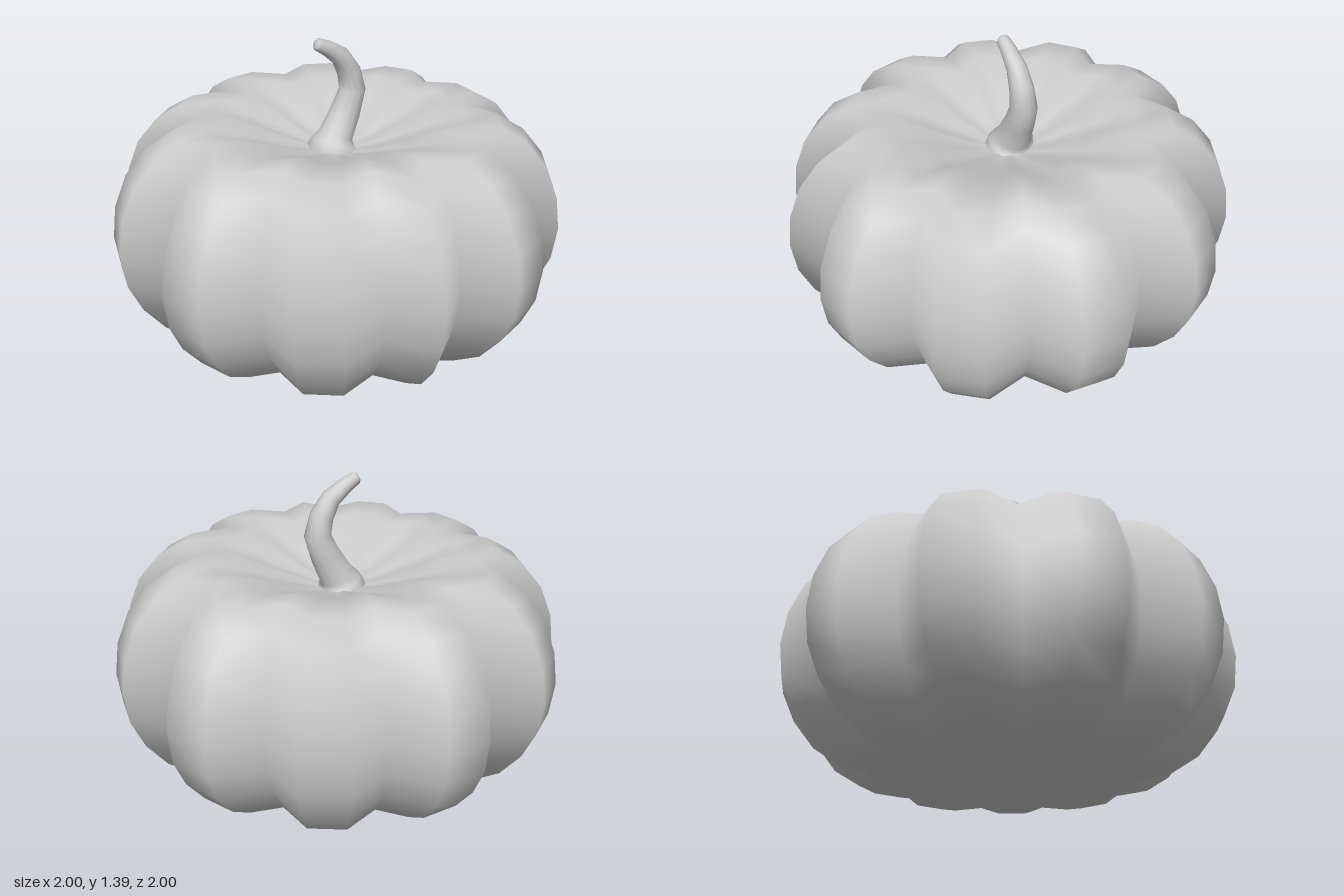
import * as THREE from 'three';
import { mergeVertices } from 'three/addons/utils/BufferGeometryUtils.js';

const material = new THREE.MeshStandardMaterial({ color: 0xcccccc });

// Skin a stack of closed rings, listed from bottom to top, with smooth normals
function loft(rings) {
  const sides = rings[0].length;
  const index = [];
  for (let r = 0; r < rings.length - 1; r++) {
    for (let i = 0; i < sides; i++) {
      const j = (i + 1) % sides;
      const a = r * sides + i, b = r * sides + j;
      index.push(a, b, a + sides, b, b + sides, a + sides);
    }
  }
  const geometry = new THREE.BufferGeometry().setFromPoints(rings.flat());
  geometry.setIndex(index);
  const merged = mergeVertices(geometry, 1e-4);
  merged.computeVertexNormals();
  return merged;
}

function addMesh(group, name, geometry) {
  const mesh = new THREE.Mesh(geometry, material);
  mesh.name = name;
  group.add(mesh);
}

// Ribbed body: every third of 32 spokes is pulled in to form a groove
function bodyGeometry() {
  const spokes = 32;
  // [radius, height] from the bottom pole over the rim into the top hollow
  const profile = [
    [0, 0], [0.195, 0.003], [0.383, 0.008], [0.556, 0.018], [0.707, 0.06], [0.831, 0.14],
    [0.924, 0.26], [0.981, 0.39], [1, 0.54], [0.981, 0.69], [0.924, 0.835], [0.831, 0.95],
    [0.707, 1.025], [0.556, 1.02], [0.383, 0.965], [0.195, 0.9], [0, 0.85],
  ];
  const rings = profile.map(([radius, y]) => Array.from({ length: spokes }, (_, i) => {
    const angle = (i / spokes) * Math.PI * 2;
    const r = radius * (i % 3 === 0 ? 0.853 : 1.01);
    return new THREE.Vector3(r * Math.sin(angle) - 0.01, y, r * Math.cos(angle) + 0.007);
  }));
  return loft(rings);
}

// Bent stem: tapered rings swept along a curve, with a flared foot
function stemGeometry() {
  const sides = 12;
  // [x, y, radius] along the centre line
  const stations = [
    [-0.012, 0.83, 0.09], [-0.012, 0.855, 0.115], [-0.012, 0.875, 0.117], [-0.008, 0.895, 0.1],
    [0.005, 0.925, 0.079], [0.055, 1.02, 0.069], [0.095, 1.125, 0.06], [0.075, 1.21, 0.053],
    [0.03, 1.285, 0.044], [-0.045, 1.338, 0.034], [-0.09, 1.361, 0.028], [-0.098, 1.365, 0.02],
    [-0.1, 1.366, 0],
  ];
  const z = new THREE.Vector3(0, 0, 1);
  const centres = stations.map(([x, y]) => new THREE.Vector3(x, y, -0.015));
  const rings = stations.map(([, , radius], k) => {
    const next = centres[Math.min(k + 1, centres.length - 1)];
    const tangent = next.clone().sub(centres[Math.max(k - 1, 0)]).normalize();
    const across = tangent.cross(z);
    return Array.from({ length: sides }, (_, i) => {
      const angle = (i / sides) * Math.PI * 2;
      return centres[k].clone()
        .addScaledVector(across, radius * Math.sin(angle))
        .addScaledVector(z, radius * Math.cos(angle));
    });
  });
  return loft(rings);
}

export function createModel() {
  const pumpkin = new THREE.Group();
  pumpkin.name = 'pumpkin';
  addMesh(pumpkin, 'ribbedBody', bodyGeometry());
  addMesh(pumpkin, 'stem', stemGeometry());
  return pumpkin;
}
